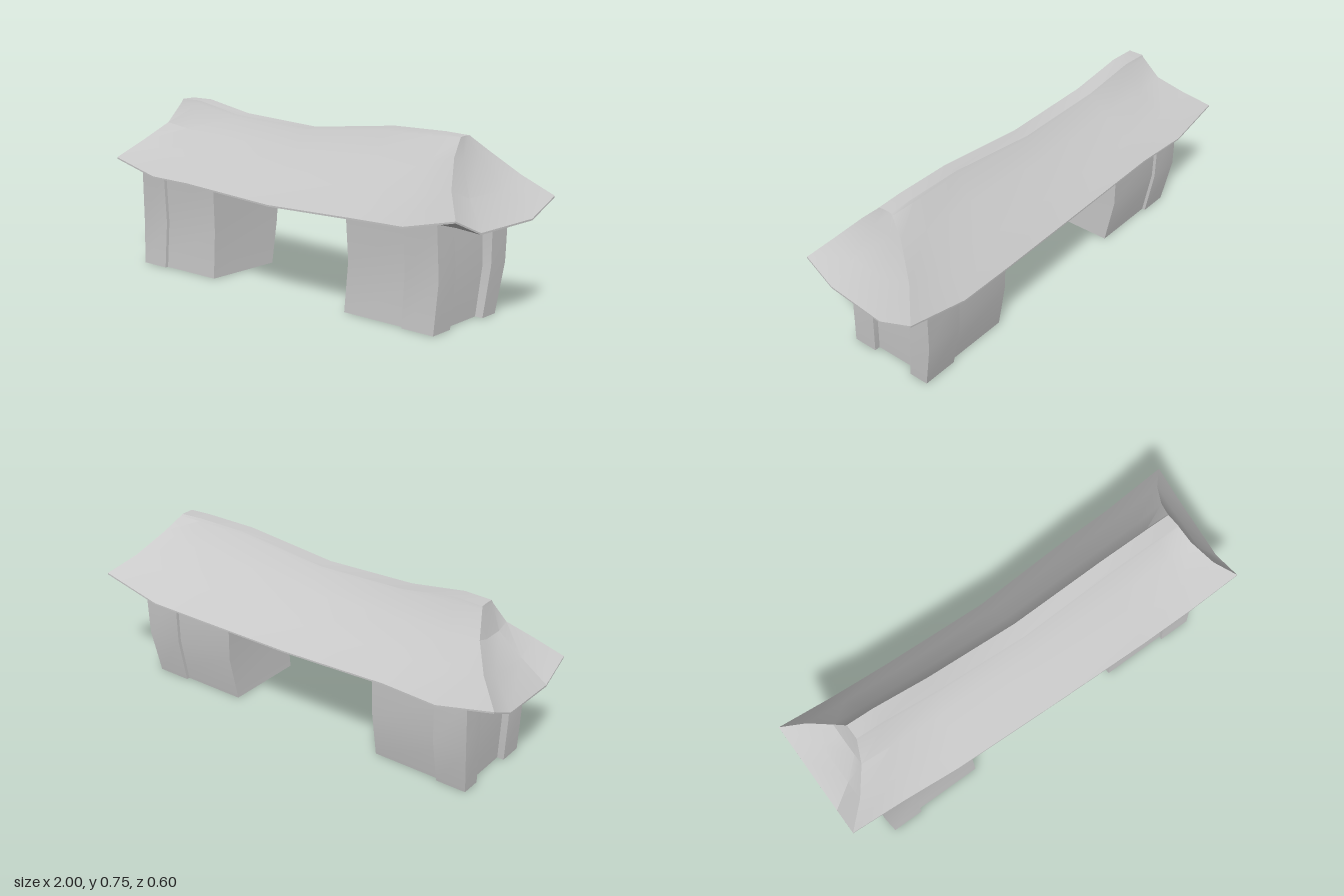
import * as THREE from 'three';
import { toCreasedNormals } from 'three/addons/utils/BufferGeometryUtils.js';

const material = new THREE.MeshStandardMaterial({ color: 0xcccccc });

// Skins a list of closed rings (each counterclockwise seen from above); caps lists extra quads
function skin(rings, caps, crease) {
  const n = rings[0].length;
  const index = [];
  const quad = (a, b, c, d) => index.push(a, b, c, a, c, d);
  for (let r = 0; r < rings.length - 1; r++) {
    for (let i = 0; i < n; i++) {
      const j = (i + 1) % n;
      quad(r * n + i, r * n + j, (r + 1) * n + j, (r + 1) * n + i);
    }
  }
  caps.forEach((c) => quad(...c));
  const geometry = new THREE.BufferGeometry();
  geometry.setAttribute('position', new THREE.Float32BufferAttribute(rings.flat(2), 3));
  geometry.setIndex(index);
  return toCreasedNormals(geometry, crease);
}

function part(name, geometry) {
  const mesh = new THREE.Mesh(geometry, material);
  mesh.name = name;
  return mesh;
}

// Sagging hipped roof: every column runs from an eave point up to a ridge point
function createRoof() {
  const front = [
    [[-1, 0.482, 0.243], [-0.79, 0.747, 0.02]],
    [[-0.75, 0.422, 0.243], [-0.67, 0.747, 0.025]],
    [[-0.5, 0.425, 0.265], [-0.42, 0.71, 0.035]],
    [[0, 0.4, 0.275], [0, 0.69, 0.05]],
    [[0.45, 0.415, 0.29], [0.43, 0.735, 0.05]],
    [[0.71, 0.42, 0.292], [0.68, 0.737, 0.05]],
    [[0.95, 0.477, 0.298], [0.79, 0.737, 0.05]],
  ];
  const back = [
    [[-1, 0.485, -0.3], [-0.79, 0.747, -0.06]],
    [[-0.75, 0.425, -0.3], [-0.67, 0.747, -0.055]],
    [[-0.5, 0.425, -0.285], [-0.42, 0.71, -0.045]],
    [[0, 0.4, -0.275], [0, 0.69, -0.03]],
    [[0.45, 0.415, -0.295], [0.43, 0.735, -0.025]],
    [[0.71, 0.42, -0.3], [0.68, 0.737, -0.025]],
    [[1, 0.487, -0.3], [0.79, 0.737, -0.025]],
  ];
  const rightEnd = [
    [[0.965, 0.412, 0.155], [0.79, 0.737, 0.025]],
    [[1, 0.422, -0.14], [0.79, 0.737, 0]],
  ];
  const leftEnd = [
    [[-1, 0.422, -0.17], [-0.79, 0.747, -0.035]],
    [[-1, 0.412, 0.11], [-0.79, 0.747, -0.005]],
  ];
  const columns = [...front, ...rightEnd, ...back.slice().reverse(), ...leftEnd];

  const along = ([e, r], t) => e.map((v, k) => v + (r[k] - v) * t);
  const ring = (t, drop) => columns.map((column) => {
    const bow = Math.sin(Math.PI * t);
    const x = column[0][0];
    const p = along(column, t);
    // hip ends curve inwards; slopes sag towards the ridge, most at the low-x end
    if (Math.abs(x) > 0.9) p[0] -= Math.sign(x) * 0.03 * bow;
    if (x < 0.9) p[1] -= (x < -0.6 ? 0.08 : 0.04) * t * t * bow;
    p[1] -= drop;
    return p;
  });
  // shallow underside, almost level above the legs
  const soffit = (t, y) => columns.map((column) => {
    const p = along(column, t);
    return [p[0], y, p[2]];
  });
  const rings = [
    soffit(1, 0.445), soffit(0.3, 0.433), ring(0, 0.007),
    ring(0, 0), ring(0.34, 0), ring(0.74, 0), ring(1, 0.008), ring(1.025, 0.008),
  ];

  // Ridge strip above and its underside
  const n = columns.length;
  const top = n * (rings.length - 1);
  const m = front.length;
  const backIndex = (i) => m + rightEnd.length + (m - 1 - i);
  const caps = [];
  for (let i = 0; i < m - 1; i++) {
    const [a, b, c, d] = [i, i + 1, backIndex(i + 1), backIndex(i)];
    caps.push([top + a, top + b, top + c, top + d], [d, c, b, a]);
  }
  return part('roof', skin(rings, caps, 0.3));
}

// Four-sided post through levels of [y, x0, x1, z0, z1]
function post(name, levels) {
  const rings = levels.map(([y, x0, x1, z0, z1]) => [
    [x0, y, z1], [x1, y, z1], [x1, y, z0], [x0, y, z0],
  ]);
  const t = (levels.length - 1) * 4;
  return part(name, skin(rings, [[3, 2, 1, 0], [t, t + 1, t + 2, t + 3]], 0.4));
}

// Bent leg: a block with two thicker posts on its outer corners
function createLeg(name, side, inner, step, outerFront, outerBack) {
  const leg = new THREE.Group();
  leg.name = name;
  const ys = [0, 0.21, 0.442];
  const zFront = [0.225, 0.21, 0.222];
  const zBack = [-0.18, -0.22, -0.225];
  const gapFront = [0.115, 0.1, 0.115];
  const gapBack = [-0.092, -0.12, -0.115];
  const inset = 0.015;
  const level = (i, a, b, z0, z1) =>
    [ys[i], Math.min(side * a, side * b), Math.max(side * a, side * b), z0, z1];
  leg.add(
    post('legBlock', ys.map((y, i) => level(i, inner[i],
      Math.min(outerFront[i], outerBack[i]) - 0.025, zBack[i] + inset, zFront[i] - inset))),
    post('frontCornerPost', ys.map((y, i) => level(i, step, outerFront[i], gapFront[i], zFront[i]))),
    post('backCornerPost', ys.map((y, i) => level(i, step, outerBack[i], zBack[i], gapBack[i]))),
  );
  return leg;
}

export function createModel() {
  const model = new THREE.Group();
  model.name = 'roofedGate';
  model.add(
    createRoof(),
    createLeg('leftLeg', 1, [0.36, 0.367, 0.36], 0.66, [0.81, 0.82, 0.815], [0.82, 0.835, 0.84]),
    createLeg('rightLeg', -1, [0.395, 0.4, 0.395], 0.7, [0.84, 0.855, 0.845], [0.835, 0.85, 0.845]),
  );
  return model;
}
